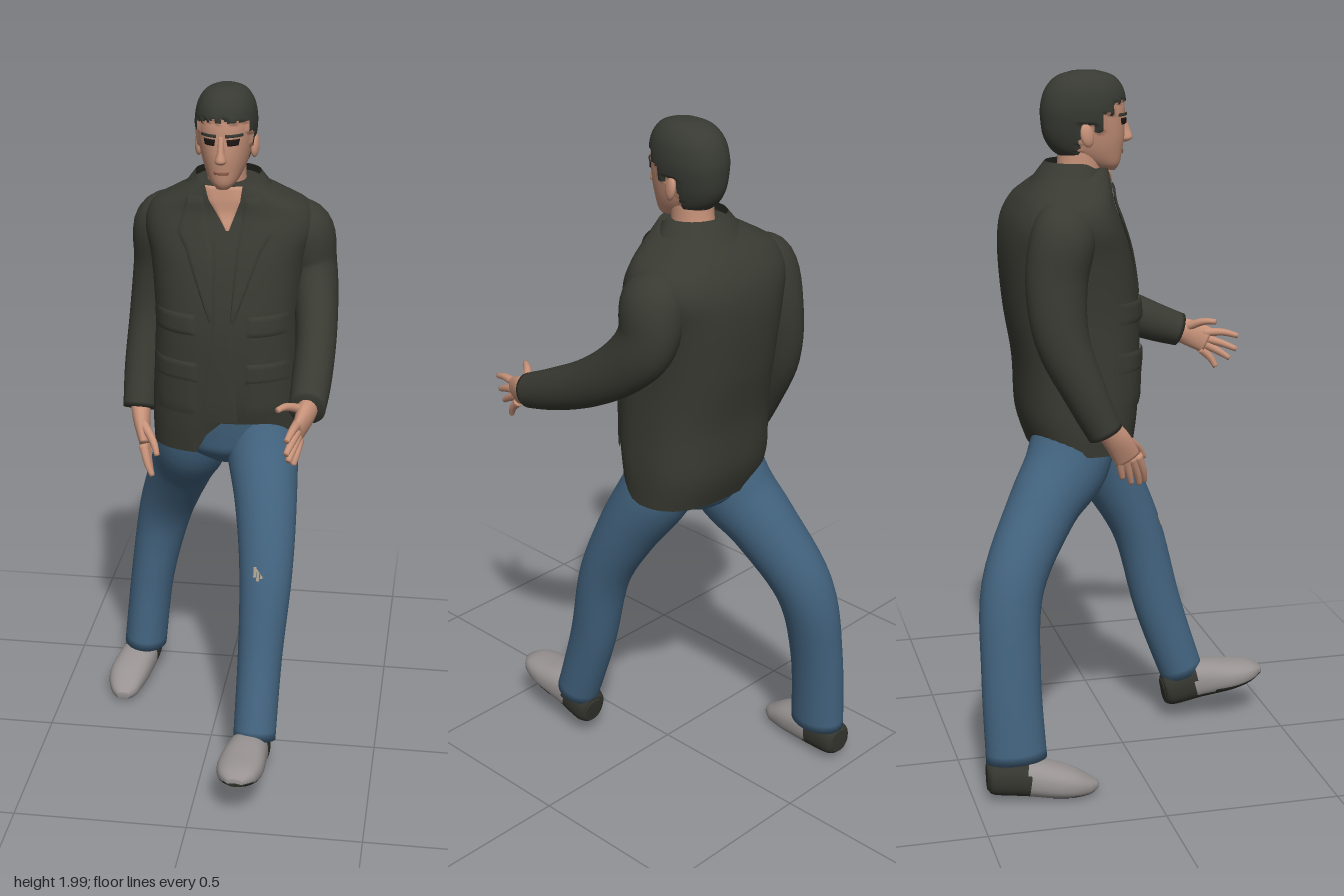
import * as THREE from 'three';

const mat = (name, color, side = THREE.FrontSide) => {
  const m = new THREE.MeshStandardMaterial({ color, side });
  m.name = name;
  return m;
};

// Catmull-Rom through rows of numbers
function spline(keys, steps) {
  const out = [], n = keys.length, at = i => keys[Math.min(n - 1, Math.max(0, i))];
  for (let k = 0; k < (n - 1) * steps + 1; k++) {
    const i = Math.min(n - 2, Math.floor(k / steps)), t = k / steps - i;
    const [a, b, c, d] = [at(i - 1), at(i), at(i + 1), at(i + 2)];
    out.push(b.map((v, j) => v + 0.5 * t * (c[j] - a[j]
      + t * (2 * a[j] - 5 * v + 4 * c[j] - d[j] + t * (3 * (v - c[j]) + d[j] - a[j])))));
  }
  return out;
}

function finish(pos, buckets, grouped) {
  const g = new THREE.BufferGeometry();
  g.setAttribute('position', new THREE.Float32BufferAttribute(pos, 3));
  g.setIndex(buckets.flat());
  if (grouped) { g.addGroup(0, buckets[0].length, 0); g.addGroup(buckets[0].length, buckets[1].length, 1); }
  g.computeVertexNormals();
  return g;
}

// Skin over rings [x, y, z, halfWidth, halfDepth]; tilt turns rings to face along the path
function loft(keys, { seg = 28, steps = 6, tilt = true, caps = [true, true], power = 2, arc = [0, Math.PI * 2], warp, pick } = {}) {
  const rings = spline(keys, steps), pos = [], buckets = [[], []], p = new THREE.Vector3();
  const closed = arc[1] - arc[0] > 6.28, cols = closed ? seg : seg + 1;
  const c = rings.map(r => new THREE.Vector3(r[0], r[1], r[2]));
  const pw = v => Math.sign(v) * Math.abs(v) ** (2 / power);
  const up = new THREE.Vector3(0, Math.sign(keys.at(-1)[1] - keys[0][1]), 0);
  const put = () => { if (warp) warp(p); pos.push(p.x, p.y, p.z); };
  rings.forEach((r, i) => {
    const t = tilt ? c[Math.min(i + 1, c.length - 1)].clone().sub(c[Math.max(0, i - 1)]).normalize() : up;
    const s = new THREE.Vector3(1, 0, 0).addScaledVector(t, -t.x).normalize();
    const b = s.clone().cross(t);
    for (let j = 0; j < cols; j++) {
      const a = arc[0] + (arc[1] - arc[0]) * j / seg;
      p.copy(c[i]).addScaledVector(s, pw(Math.cos(a)) * r[3]).addScaledVector(b, pw(Math.sin(a)) * r[4]);
      put();
    }
  });
  const face = (...f) => {
    const mid = [0, 1, 2].map(k => f.reduce((sum, v) => sum + pos[v * 3 + k], 0) / f.length);
    const idx = buckets[pick ? pick(...mid) : 0];
    idx.push(f[0], f[1], f[2]);
    if (f.length > 3) idx.push(f[0], f[2], f[3]);
  };
  const last = rings.length - 1;
  for (let i = 0; i < last; i++) for (let j = 0; j < seg; j++) {
    const k = (j + 1) % cols;
    face(i * cols + j, (i + 1) * cols + j, (i + 1) * cols + k, i * cols + k);
  }
  [0, last].forEach((i, e) => {
    if (!caps[e]) return;
    const m = pos.length / 3;
    p.copy(c[i]); put();
    for (let j = 0; j < seg; j++) {
      const u = i * cols + j, v = i * cols + (j + 1) % cols;
      e ? face(m, v, u) : face(m, u, v);
    }
  });
  return finish(pos, buckets, pick);
}

// Front depth of an upright loft at a point
function frontOf(keys, power) {
  const rings = spline(keys, 6);
  return (x, y) => {
    const i = Math.max(1, rings.findIndex(r => r[1] >= y)), a = rings[i - 1], b = rings[i];
    const t = Math.min(1, Math.max(0, (y - a[1]) / (b[1] - a[1])));
    const [cx, , cz, rx, rz] = a.map((v, k) => v + (b[k] - v) * t);
    return cz + rz * Math.max(0, 1 - Math.abs((x - cx) / rx) ** power) ** (1 / power);
  };
}

// Thin panel draped on a front surface; rows run downward as [y, xMin, xMax]
function drape(front, rows, lift) {
  const pos = [], idx = [], n = 10, V = (rows.length - 1) * 8;
  for (let r = 0; r <= V; r++) {
    const i = Math.min(rows.length - 2, Math.floor(r / 8)), t = r / 8 - i;
    const [y, l, h] = rows[i].map((v, k) => v + (rows[i + 1][k] - v) * t);
    for (let j = 0; j <= n; j++) {
      const x = l + (h - l) * j / n;
      const rim = r === 0 || r === V || j === 0 || j === n;
      pos.push(x, y, front(x, y) + (rim ? lift * 0.5 : lift));
      if (r < V && j < n) {
        const a = r * (n + 1) + j, b = a + n + 1;
        idx.push(a, b, b + 1, a, b + 1, a + 1);
      }
    }
  }
  return finish(pos, [idx], false);
}

export function createModel() {
  const root = new THREE.Group();
  const cloth = mat('jacket cloth', 0x393a32, THREE.DoubleSide);
  const skin = mat('skin', 0xc8937a, THREE.DoubleSide), hair = mat('hair', 0x383a33, THREE.DoubleSide);
  const denim = mat('denim', 0x436480, THREE.DoubleSide), shoe = mat('grey shoe', 0x989392), heel = mat('dark sole', 0x34352e);
  const lip = mat('lips', 0x9a6350, THREE.DoubleSide), eyeMat = mat('eye dark', 0x1d1714, THREE.DoubleSide), worn = mat('worn denim', 0xa59a88);
  const add = (name, geo, material, parent = root) => {
    const m = new THREE.Mesh(geo, material);
    m.name = name;
    parent.add(m);
    return m;
  };
  const smooth = THREE.MathUtils.smoothstep;

  // Jacket body with an uneven hem
  const torso = [
    [.03, .95, -.125, .212, .145], [.03, 1.05, -.133, .216, .167], [.03, 1.2, -.133, .21, .175],
    [.03, 1.35, -.145, .208, .187], [.03, 1.5, -.163, .222, .18], [.033, 1.59, -.172, .243, .161],
    [.033, 1.65, -.168, .225, .135], [.031, 1.69, -.15, .165, .115], [.03, 1.735, -.125, .085, .085]];
  add('jacketBody', loft(torso, {
    tilt: false, power: 2.5, seg: 48, caps: [false, true],
    warp: p => {
      if (p.y > 1.2) return;
      const hem = .955 + .095 * smooth(p.z, -.12, .01) * smooth(p.x, -.04, .01);
      p.y = 1.2 - (1.2 - p.y) * (1.2 - hem) / .25;
    }
  }), cloth);
  add('collar', loft([[.03, 1.68, -.15, .145, .12], [.03, 1.72, -.135, .118, .105], [.03, 1.755, -.128, .092, .085]], {
    tilt: false, caps: [false, false], arc: [Math.PI / 2 + .75, Math.PI * 2.5 - .75],
    warp: p => { p.y -= .5 * Math.max(0, p.z + .12); }
  }), cloth);

  // Open neck, shirt front, lapels and pockets
  const chest = frontOf(torso, 2.5);
  const panel = (name, rows, lift = .009, material = cloth) => add(name, drape(chest, rows, lift), material);
  panel('openNeck', [[1.73, -.025, .08], [1.69, -.012, .075], [1.61, .038, .046]], .006, skin);
  panel('shirtFront', [[1.605, .004, .07], [1.36, .01, .062], [1.06, -.025, .08]], .004);
  panel('rightLapel', [[1.7, -.075, -.03], [1.6, -.1, -.01], [1.56, -.075, 0], [1.36, 0, .012]]);
  panel('leftLapel', [[1.7, .09, .135], [1.6, .075, .165], [1.56, .07, .14], [1.36, .058, .068]]);
  [['right', -.165, -.04], ['left', .105, .215]].forEach(([side, l, r]) => {
    panel(side + 'ChestFlap', [[1.38, l, r], [1.32, l, r]]);
    panel(side + 'Pocket', [[1.22, l, r], [1.08, l, r]], .007);
    panel(side + 'PocketFlap', [[1.24, l - .005, r + .005], [1.18, l - .005, r + .005]]);
  });

  // Sleeves, starting inside the shoulders
  add('rightSleeve', loft([
    [-.105, 1.64, -.185, .03, .06], [-.165, 1.58, -.205, .082, .088], [-.185, 1.45, -.23, .074, .085],
    [-.205, 1.3, -.22, .066, .075], [-.22, 1.15, -.16, .058, .06], [-.225, 1.035, -.105, .05, .05]]), cloth);
  add('leftSleeve', loft([
    [.17, 1.64, -.175, .03, .06], [.232, 1.58, -.18, .085, .092], [.264, 1.47, -.18, .072, .088], [.283, 1.385, -.115, .063, .078],
    [.295, 1.305, 0, .057, .068], [.297, 1.24, .14, .055, .06], [.296, 1.2, .25, .05, .05]]), cloth);

  // Hands: palm, four fingers and a thumb
  const hand = (name, palm, fingers) => {
    const g = new THREE.Group();
    g.name = name;
    root.add(g);
    add('palm', loft(palm, { seg: 16 }), skin, g);
    fingers.forEach((pts, i) => add(i < 4 ? 'finger' : 'thumb',
      loft(pts.map((p, k) => [...p, .014 - k * .003, .014 - k * .003]), { seg: 10, steps: 4 }), skin, g));
  };
  hand('leftHand', [[.298, 1.205, .23, .03, .032], [.292, 1.19, .28, .025, .04], [.278, 1.165, .335, .015, .04]], [
    [[.28, 1.19, .32], [.27, 1.19, .38], [.26, 1.178, .425]], [[.28, 1.173, .325], [.268, 1.155, .38], [.258, 1.138, .42]],
    [[.28, 1.155, .325], [.27, 1.13, .37], [.262, 1.11, .4]], [[.283, 1.14, .315], [.278, 1.11, .345], [.272, 1.083, .36]],
    [[.29, 1.205, .265], [.25, 1.23, .31], [.226, 1.232, .345]]]);
  hand('rightHand', [[-.225, 1.06, -.11, .03, .032], [-.215, 1.01, -.07, .025, .038], [-.2, .95, -.035, .015, .038]], [
    [[-.2, .96, -.008], [-.185, .91, .012], [-.17, .875, .02]], [[-.2, .955, -.025], [-.185, .905, -.005], [-.173, .868, .005]],
    [[-.2, .955, -.043], [-.19, .91, -.03], [-.18, .873, -.02]], [[-.203, .96, -.06], [-.197, .925, -.055], [-.19, .893, -.048]],
    [[-.21, 1.015, -.05], [-.17, .975, 0], [-.155, .94, .022]]]);

  // Trousers
  add('hips', loft([[.03, .89, -.135, .05, .06], [.03, .935, -.137, .14, .115], [.03, .99, -.135, .178, .13],
    [.03, 1.1, -.13, .185, .145]], { tilt: false }), denim);
  add('leftTrouserLeg', loft([
    [.16, .15, .228, .062, .066], [.165, .38, .15, .065, .072], [.172, .62, .088, .077, .074],
    [.16, .8, 0, .09, .09], [.135, .95, -.09, .105, .105], [.11, 1.06, -.13, .1, .105]]), denim);
  add('rightTrouserLeg', loft([
    [-.267, .115, -.375, .066, .087], [-.242, .36, -.382, .068, .084], [-.195, .6, -.365, .083, .088],
    [-.125, .8, -.265, .097, .1], [-.08, .92, -.18, .11, .12], [-.05, 1.06, -.14, .11, .11]]), denim);
  for (const [x, h] of [[.148, .03], [.157, .05], [.167, .035]]) {
    const tear = add('kneeTear', new THREE.BoxGeometry(.008, h, .009), worn);
    tear.position.set(x, .65, .15);
    tear.rotation.x = -.4;
  }

  // Shoes: grey uppers, dark heels and soles
  const foot = (name, keys, split, sole) => add(name, loft(keys, {
    power: 2.4, seg: 32, steps: 8, pick: (x, y, z) => (z < split || y < sole(z) ? 1 : 0)
  }), [shoe, heel]);
  foot('leftShoe', [
    [.155, .095, .165, .03, .035], [.154, .1, .185, .05, .05], [.147, .128, .27, .058, .058], [.138, .138, .37, .067, .045],
    [.135, .146, .435, .054, .03], [.133, .146, .471, .022, .012]], .257, z => .067 + .25 * (z - .165));
  foot('rightShoe', [
    [-.272, .07, -.462, .03, .035], [-.274, .07, -.44, .05, .047], [-.285, .067, -.35, .058, .052], [-.303, .05, -.25, .06, .045],
    [-.304, .034, -.185, .043, .028], [-.303, .03, -.152, .018, .012]], -.35, () => .018);

  // Neck and head, with hair as a raised part of the skull
  add('neck', loft([[.027, 1.66, -.13, .066, .075], [.027, 1.73, -.12, .055, .062], [.027, 1.8, -.115, .055, .062]], { tilt: false }), skin);
  const skull = [
    [.027, 1.726, -.035, .018, .02], [.027, 1.745, -.058, .038, .055], [.027, 1.78, -.088, .057, .092],
    [.027, 1.82, -.1, .069, .11], [.027, 1.87, -.104, .078, .115], [.027, 1.91, -.104, .08, .114],
    [.027, 1.95, -.102, .073, .103], [.027, 1.98, -.1, .054, .077], [.027, 1.994, -.1, .025, .035]];
  const hairline = (x, z) => {
    const jag = .006 * Math.sin(x * 190 + z * 150);
    if (z > -.035) return 1.92 - .25 * Math.max(0, Math.abs(x - .027) - .03) + jag;
    if (z > -.065) return 1.885 + jag;
    if (z > -.09) return 1.84 + jag;
    if (z > -.13) return 1.86;
    return 1.768 + jag;
  };
  add('head', loft(skull, {
    tilt: false, seg: 64, steps: 8, power: 2.1, pick: (x, y, z) => (y > hairline(x, z) ? 1 : 0),
    warp: p => {
      if (p.y < hairline(p.x, p.z)) return;
      const d = new THREE.Vector3(p.x - .027, p.y - 1.88, p.z + .1).normalize();
      p.addScaledVector(d, .006);
    }
  }), [skin, hair]);

  // Face
  const face = frontOf(skull, 2.1);
  add('nose', loft([[.027, 1.803, .01, .008, .008], [.027, 1.813, .015, .016, .02], [.027, 1.84, .01, .01, .017],
    [.027, 1.88, .004, .008, .008]], { tilt: false, seg: 16 }), skin);
  add('mouth', drape(face, [[1.781, .004, .05], [1.772, .008, .046]], .004), lip);
  for (const s of [-1, 1]) {
    const span = (a, b) => [Math.min(.027 + s * a, .027 + s * b), Math.max(.027 + s * a, .027 + s * b)];
    add('eye', drape(face, [[1.872, ...span(.015, .05)], [1.854, ...span(.018, .046)]], .005), eyeMat);
    add('eyebrow', drape(face, [[1.886, ...span(.012, .057)], [1.877, ...span(.012, .058)]], .007), hair);
    const ear = add('ear', new THREE.SphereGeometry(1, 16, 12), skin);
    ear.scale.set(.011, .033, .02);
    ear.position.set(.027 + s * .078, 1.83, -.112);
    ear.rotation.set(-.2, s * -.3, 0);
  }
  return root;
}
